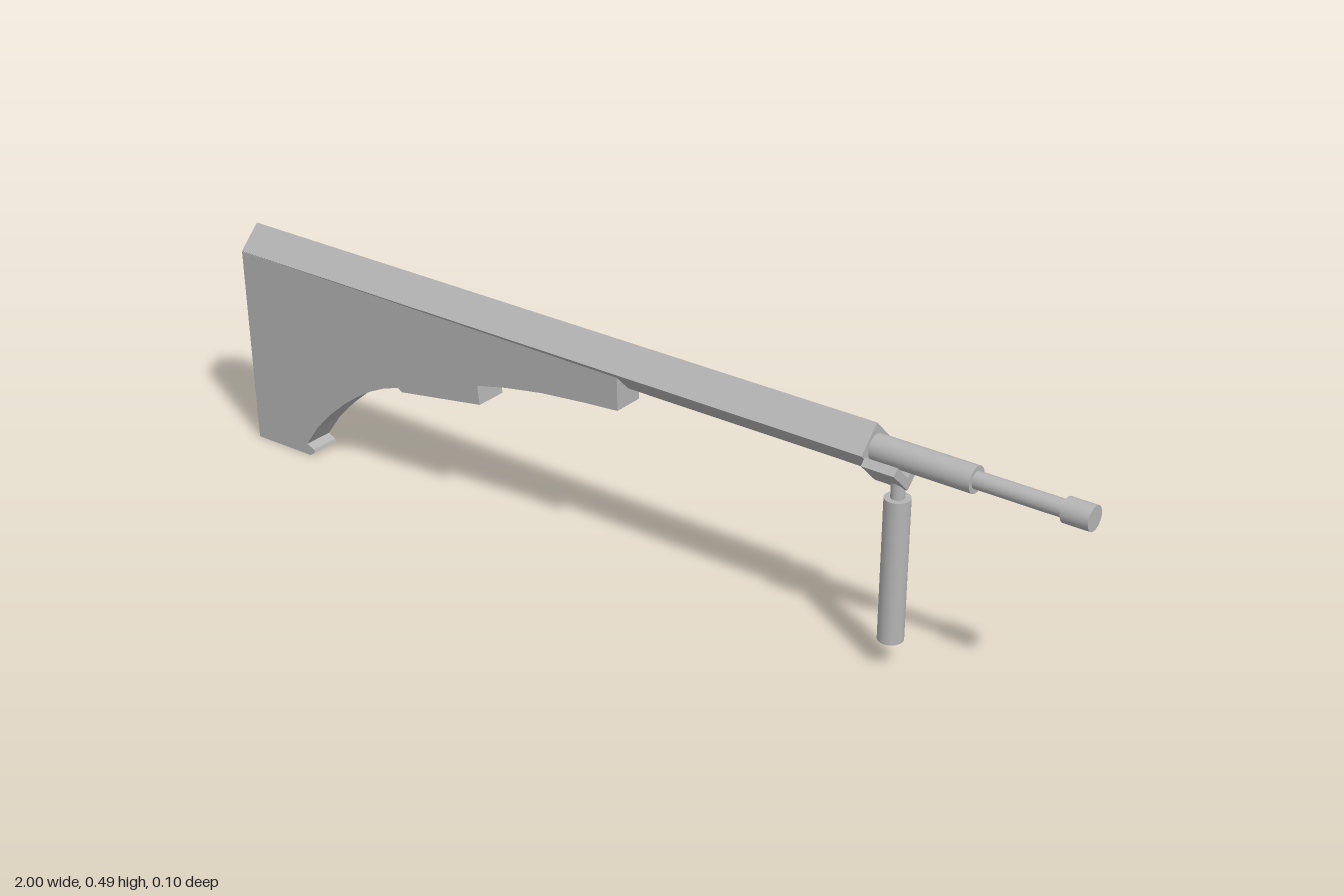
import * as THREE from 'three';

const AXIS_Y = 0.442; // height of the barrel axis

export function createModel() {
  const group = new THREE.Group();
  const grey = new THREE.MeshStandardMaterial({ color: 0xb4b4b4 });
  grey.name = 'grey';

  const add = (name, geometry) => {
    const mesh = new THREE.Mesh(geometry, grey);
    mesh.name = name;
    group.add(mesh);
    return mesh;
  };
  const shapeOf = (points) => new THREE.Shape(points.map(([x, y]) => new THREE.Vector2(x, y)));

  // Cylinder lying along x
  const rod = (name, x0, x1, radius, sides = 32) => {
    const g = new THREE.CylinderGeometry(radius, radius, x1 - x0, sides);
    g.rotateZ(-Math.PI / 2).translate((x0 + x1) / 2, AXIS_Y, 0);
    return add(name, g);
  };
  // Upright cylinder
  const post = (name, x, y0, y1, radius) => {
    const g = new THREE.CylinderGeometry(radius, radius, y1 - y0, 32);
    return add(name, g.translate(x, (y0 + y1) / 2, 0));
  };

  // Diamond-section body
  const body = rod('body', -1, 0.555, 0.049, 4);
  body.geometry = body.geometry.toNonIndexed();
  body.geometry.computeVertexNormals();

  // Stepped barrel
  rod('barrelSleeve', 0.54, 0.765, 0.0265);
  rod('barrel', 0.76, 0.95, 0.017);
  rod('muzzle', 0.945, 1, 0.0245);

  // Shoulder stock: side profile, thinning downward and forward
  const profile = shapeOf([
    [-1, 0], [-0.85, 0], [-0.836, 0.01], [-0.838, 0.017], [-0.857, 0.025], [-0.85, 0.035],
    [-0.82, 0.077], [-0.78, 0.119], [-0.74, 0.154], [-0.7, 0.184], [-0.66, 0.209],
    [-0.62, 0.228], [-0.58, 0.241], [-0.57, 0.234], [-0.36, 0.267], [-0.364, 0.309],
    [-0.29, 0.326], [-0.2, 0.341], [-0.1, 0.351], [-0.01, 0.358], [-0.01, 0.44], [-1, 0.44],
  ]);
  const stock = new THREE.ExtrudeGeometry(profile, { depth: 2, bevelEnabled: false });
  stock.translate(0, 0, -1);
  const p = stock.attributes.position;
  for (let i = 0; i < p.count; i++) {
    const half = 0.0488 - 0.0122 * (p.getX(i) + 1) + 0.032 * (p.getY(i) - 0.44);
    p.setZ(i, Math.sign(p.getZ(i)) * half);
  }
  stock.computeVertexNormals();
  add('stock', stock);

  // V-shaped bracket under the barrel, drawn in the z-y plane
  const vee = shapeOf([
    [0, 0.375], [0.05, 0.423], [0.0375, 0.436], [0, 0.4], [-0.0375, 0.436], [-0.05, 0.423],
  ]);
  const bracket = new THREE.ExtrudeGeometry(vee, { depth: 0.07, bevelEnabled: false });
  add('bracket', bracket.rotateY(Math.PI / 2).translate(0.555, 0, 0));

  // Hanging foregrip
  post('gripNeck', 0.605, 0.35, 0.39, 0.0135);
  post('foregrip', 0.605, 0.058, 0.355, 0.0255);

  return group;
}
